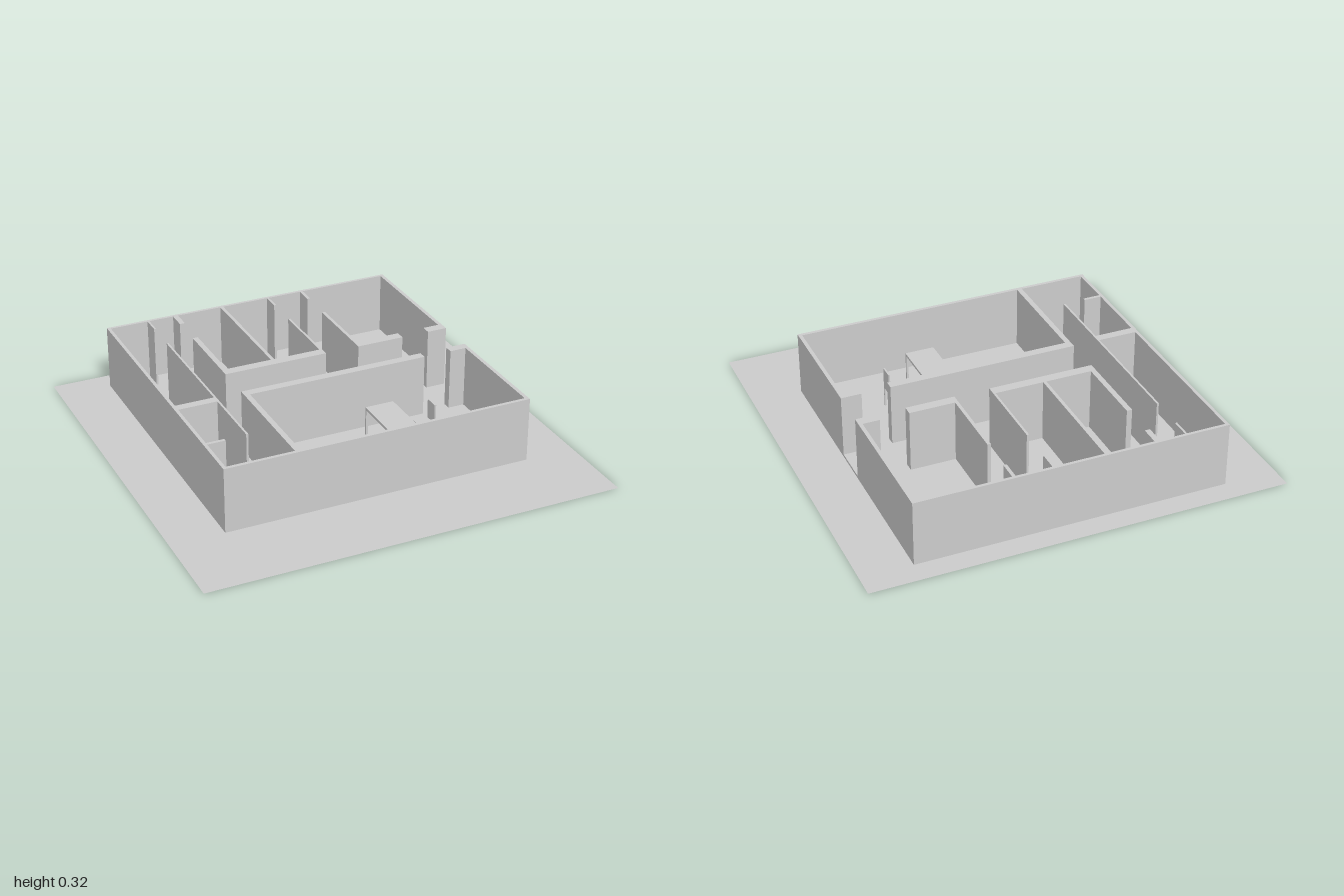
import * as THREE from 'three';

const grey = new THREE.MeshStandardMaterial({ color: 0xcccccc, flatShading: true });
const HEIGHT = 0.317, FLOOR = 0.012;

// Box given by its limits along each axis
function block(name, x0, x1, y0, y1, z0, z1) {
  const mesh = new THREE.Mesh(new THREE.BoxGeometry(x1 - x0, y1 - y0, z1 - z0), grey);
  mesh.position.set((x0 + x1) / 2, (y0 + y1) / 2, (z0 + z1) / 2);
  mesh.name = name;
  return mesh;
}

export function createModel() {
  const model = new THREE.Group();
  model.name = 'floorPlanHouse';

  // Ground sheet and floor slab
  const ground = new THREE.Mesh(
    new THREE.PlaneGeometry(2, 2).rotateX(-Math.PI / 2),
    new THREE.MeshStandardMaterial({ color: 0xcccccc, side: THREE.DoubleSide })
  );
  ground.name = 'ground';
  model.add(ground);

  const L = -0.743, R = 0.755, B = -0.893, F = 0.606;       // outer faces
  const l = -0.727, r = 0.737, b = -0.878, f = 0.589;       // inner faces
  model.add(block('floorSlab', L, R, 0, FLOOR, B, F));

  const addWalls = (name, list) => {
    const group = new THREE.Group();
    group.name = name;
    for (const [x0, x1, z0, z1] of list) group.add(block('wall', x0, x1, 0, HEIGHT, z0, z1));
    model.add(group);
  };

  // Corridor edges, open at the entrance on the +x side
  const n0 = -0.246, n1 = -0.198, s0 = -0.01, s1 = 0.032;

  addWalls('outerWalls', [
    [L, R, B, b],
    [L, R, f, F],
    [L, l, b, f],
    [r, R, b, n1],
    [r, R, s0, f],
  ]);

  // Corridor walls with doorways near the entrance
  addWalls('corridorWalls', [
    [-0.404, 0.11, n0, n1],
    [0.281, 0.517, n0, n1],
    [0.656, r, n0, n1],
    [-0.404, 0.517, s0, s1],
    [0.656, r, s0, s1],
    [l, -0.538, s0, s1],
  ]);

  // Partitions: each has a back stub, a doorway, then a long run
  const stubEnd = -0.785, runStart = -0.613;
  const partitions = [
    [-0.538, -0.528, 0.367],
    [-0.404, -0.378, n0],
    [0.099, 0.11, n0],
    [0.281, 0.297, n0],
  ];
  addWalls('partitionWalls', partitions.flatMap(([x0, x1, end]) => [
    [x0, x1, b, stubEnd],
    [x0, x1, runStart, end],
  ]).concat([
    [-0.153, -0.137, b, n0],
    [-0.404, -0.378, s1, f],
    [l, -0.64, 0.364, 0.38],
  ]));

  // Four square legs inside a rectangle
  const addLegs = (group, x0, x1, z0, z1, top, t) => {
    for (const x of [x0, x1 - t])
      for (const z of [z0, z1 - t]) group.add(block('leg', x, x + t, FLOOR, top, z, z + t));
  };

  // Table
  const table = new THREE.Group();
  table.name = 'table';
  table.add(block('tableTop', 0.138, 0.281, 0.19, 0.202, 0.174, 0.42));
  addLegs(table, 0.138, 0.281, 0.174, 0.42, 0.19, 0.01);
  model.add(table);

  // Chair, its back towards +x
  const chair = new THREE.Group();
  chair.name = 'chair';
  chair.add(block('seat', 0.353, 0.434, 0.11, 0.12, 0.244, 0.313));
  chair.add(block('backrest', 0.426, 0.434, 0.12, 0.215, 0.244, 0.313));
  addLegs(chair, 0.353, 0.434, 0.244, 0.313, 0.11, 0.008);
  model.add(chair);

  return model;
}
